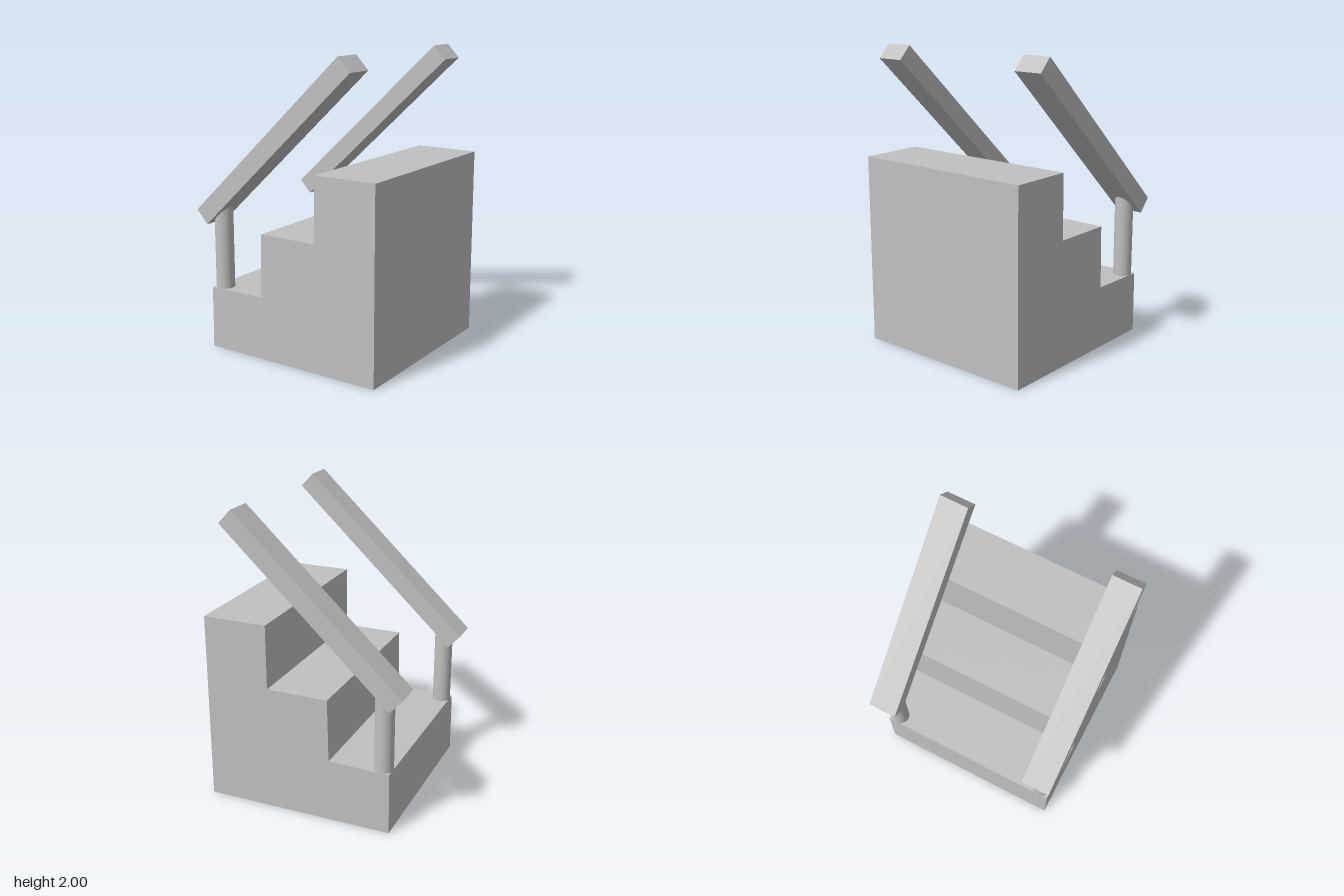
import * as THREE from 'three';

const grey = new THREE.MeshStandardMaterial({ color: 0xc0c0c0 });
grey.name = 'plain grey';

// Extrudes an outline in the x-y plane, centred on the given z
function slab(name, points, depth, z) {
  const shape = new THREE.Shape(points.map(([x, y]) => new THREE.Vector2(x, y)));
  const geometry = new THREE.ExtrudeGeometry(shape, { depth, bevelEnabled: false });
  geometry.translate(0, 0, z - depth / 2);
  const mesh = new THREE.Mesh(geometry, grey);
  mesh.name = name;
  return mesh;
}

export function createModel() {
  const model = new THREE.Group();
  model.name = 'stairs';

  // Three solid steps with slightly leaning risers
  model.add(slab('steps', [
    [-0.6, 0], [0.68, 0], [0.68, 1.28], [0.245, 1.28], [0.243, 0.848],
    [-0.175, 0.848], [-0.184, 0.425], [-0.596, 0.418],
  ], 1.28, 0));

  for (const side of [-1, 1]) {
    const label = side > 0 ? 'front' : 'back';
    const z = side * 0.575 - 0.002;

    // Sloping square-cut handrail
    model.add(slab(label + 'Handrail', [
      [-0.683, 0.95], [-0.6, 0.86], [0.522, 1.91], [0.437, 2],
    ], 0.195, z));

    // Round post, sunk into the bottom step and the rail
    const post = new THREE.Mesh(new THREE.CylinderGeometry(0.062, 0.062, 0.68, 32), grey);
    post.name = label + 'Post';
    post.position.set(-0.538, 0.66, z);
    model.add(post);
  }
  return model;
}
